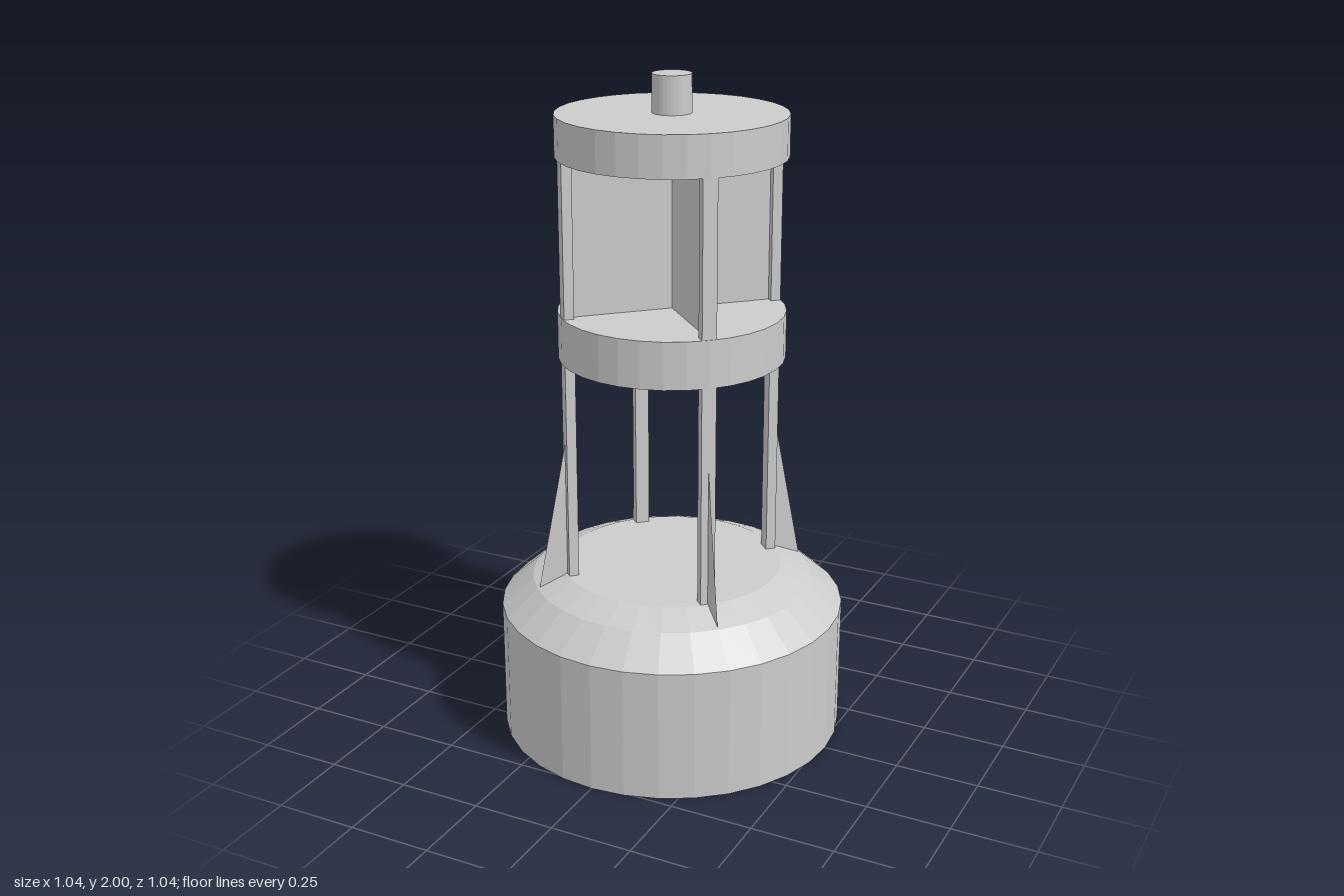
import * as THREE from 'three';

const material = new THREE.MeshStandardMaterial({
  color: 0xcccccc, flatShading: true, side: THREE.DoubleSide,
});
const SIDES = 32;

function addMesh(parent, name, geometry) {
  const mesh = new THREE.Mesh(geometry, material);
  mesh.name = name;
  parent.add(mesh);
  return mesh;
}

// Thin-walled turned shell from [radius, height] pairs, bottom to top
function shell(profile) {
  return new THREE.LatheGeometry(profile.map(([r, y]) => new THREE.Vector2(r, y)), SIDES);
}

export function createModel() {
  const model = new THREE.Group();
  model.name = 'buoy';

  // Float, collar and cap are closed on top and open underneath
  addMesh(model, 'floatBase', shell([[0.52, 0], [0.52, 0.4], [0.425, 0.483], [0.333, 0.52], [0, 0.52]]));
  addMesh(model, 'collar', shell([[0.333, 1.18], [0.333, 1.32], [0, 1.32]]));
  addMesh(model, 'cap', shell([[0.333, 1.77], [0.333, 1.89], [0, 1.89]]));

  // Short lantern post
  const post = addMesh(model, 'topPost', new THREE.CylinderGeometry(0.057, 0.057, 0.112, SIDES));
  post.position.y = 1.944;

  // Four diagonal bays, each with a leg, a gusset and a reflector plate
  const gussetShape = new THREE.Shape([
    new THREE.Vector2(0.325, 0.52),
    new THREE.Vector2(0.418, 0.482),
    new THREE.Vector2(0.329, 0.94),
  ]);
  for (let i = 0; i < 4; i++) {
    const bay = new THREE.Group();
    bay.name = 'bay' + (i + 1);
    bay.rotation.y = Math.PI / 4 + i * Math.PI / 2;

    const leg = addMesh(bay, 'leg', new THREE.BoxGeometry(0.03, 1.25, 0.043));
    leg.position.set(0.315, 1.145, 0);

    addMesh(bay, 'gusset', new THREE.ShapeGeometry(gussetShape));

    const plate = addMesh(bay, 'reflectorPlate', new THREE.PlaneGeometry(0.302, 0.45));
    plate.position.set(0.151, 1.545, 0);
    model.add(bay);
  }
  return model;
}
